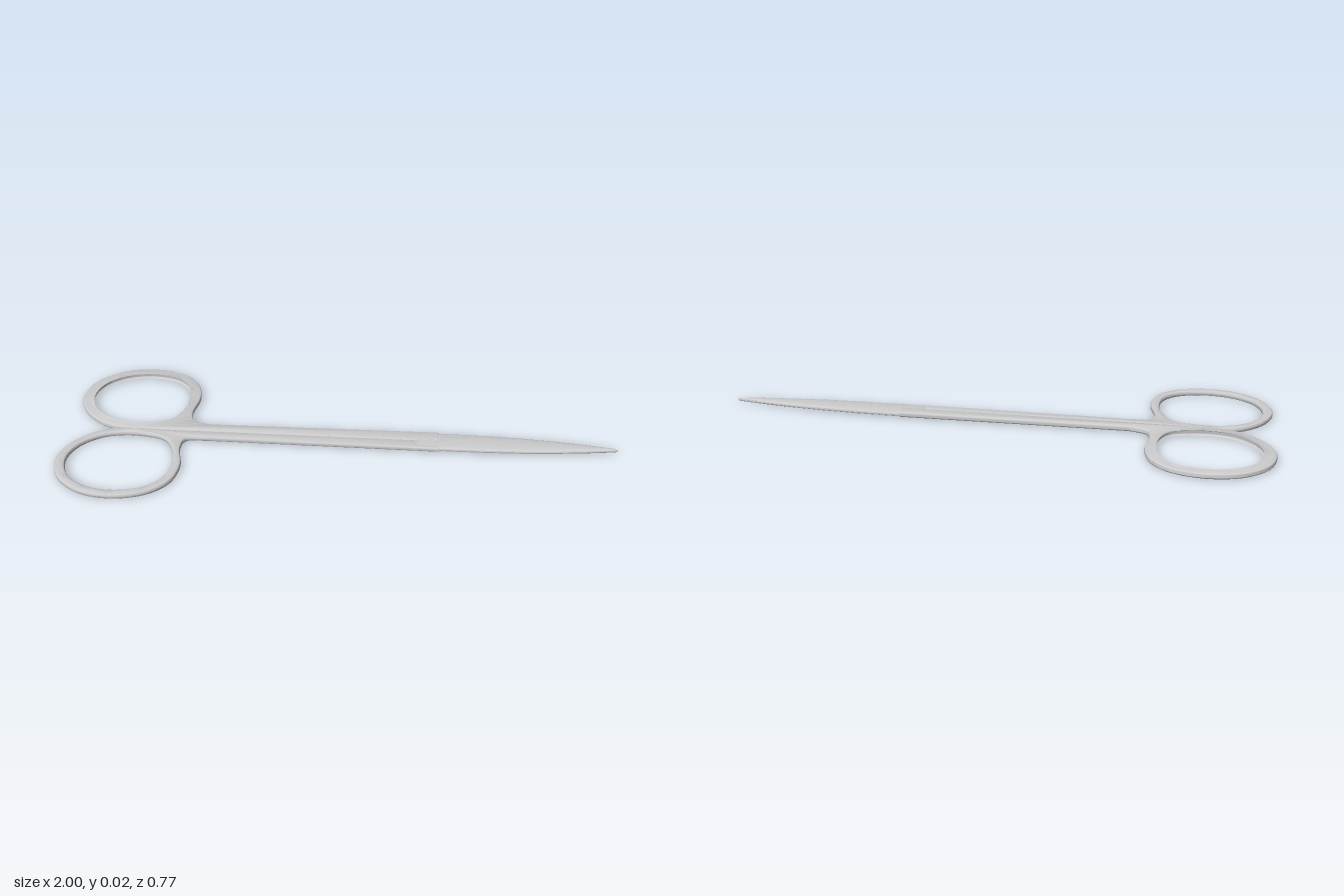
import * as THREE from 'three';
import { toCreasedNormals } from 'three/addons/utils/BufferGeometryUtils.js';

const steel = new THREE.MeshStandardMaterial({ color: 0xcccccc, side: THREE.DoubleSide });

// Finger ring and neck, as (x, z) for the rear half; the front half mirrors it
const RING = [[-0.72, -0.001], [-0.8, -0.005], [-0.88, -0.035], [-0.95, -0.1], [-0.985, -0.19],
  [-0.958, -0.29], [-0.87, -0.365], [-0.75, -0.39], [-0.63, -0.363], [-0.56, -0.3],
  [-0.537, -0.21], [-0.553, -0.11], [-0.54, -0.06]];
const HOLE = [[-0.948, -0.19], [-0.922, -0.28], [-0.85, -0.338], [-0.75, -0.358], [-0.645, -0.335],
  [-0.588, -0.28], [-0.57, -0.2], [-0.582, -0.12], [-0.62, -0.06], [-0.69, -0.037],
  [-0.77, -0.032], [-0.85, -0.052], [-0.92, -0.11]];

function smooth(points, closed, count) {
  const curve = new THREE.CatmullRomCurve3(points.map(([x, z]) => new THREE.Vector3(x, -z, 0)), closed, 'centripetal');
  const list = curve.getPoints(count).map(p => new THREE.Vector2(p.x, p.y));
  if (closed) list.pop();
  return list;
}

// Ring, neck and shank cut as one plate with rounded rims
function handleGeometry(place, shank, seam, y0) {
  const edge = smooth([...RING.map(place), shank[0]], false, 110);
  const corners = [shank[1], seam[0], seam[1]].map(([x, z]) => new THREE.Vector2(x, -z));
  const shape = new THREE.Shape([...edge, ...corners]);
  shape.holes.push(new THREE.Path(smooth(HOLE.map(place), true, 90)));
  const bevel = 0.007;
  const geo = new THREE.ExtrudeGeometry(shape, {
    depth: 0.02 - 2 * bevel, bevelThickness: bevel, bevelSize: bevel, bevelOffset: -bevel, bevelSegments: 4,
  });
  geo.rotateX(-Math.PI / 2).translate(0, y0 + bevel, 0);
  return toCreasedNormals(geo, 0.7);
}

// Blade lofted from D-shaped sections: flat inside, domed outside (side = +1 up, -1 down)
function bladeGeometry(side) {
  // x, rear edge z, front edge z, dome height
  const stations = [[0.28, -0.022, 0.07, 0.0105], [0.4, -0.018, 0.074, 0.0105], [0.53, -0.012, 0.077, 0.0105],
    [0.66, -0.002, 0.077, 0.010], [0.78, 0.011, 0.072, 0.0095], [0.88, 0.026, 0.065, 0.009],
    [0.95, 0.038, 0.058, 0.008], [0.985, 0.045, 0.055, 0.007], [1.0, 0.049, 0.052, 0.005]];
  const N = 14, pos = [], index = [];
  for (const [x, z0, z1, h] of stations) {
    for (let i = 0; i <= N; i++) {
      const a = Math.PI * i / N;
      const z = (z0 + z1) / 2 - Math.cos(a) * (z1 - z0) / 2;
      pos.push(x, 0.0125 + side * h * Math.pow(Math.max(0, Math.sin(a)), 0.5), z);
    }
  }
  const tri = (a, b, c) => (side > 0 ? index.push(a, b, c) : index.push(a, c, b));
  const row = N + 1, last = stations.length - 1;
  for (let s = 0; s < last; s++) {
    for (let i = 0; i <= N; i++) {
      const j = (i + 1) % row, a = s * row + i, b = s * row + j;
      tri(a, b, a + row);
      tri(b, b + row, a + row);
    }
  }
  for (let i = 1; i < N; i++) {
    tri(0, i + 1, i);
    tri(last * row, last * row + i, last * row + i + 1);
  }
  const geo = new THREE.BufferGeometry();
  geo.setAttribute('position', new THREE.Float32BufferAttribute(pos, 3));
  geo.setIndex(index);
  return toCreasedNormals(geo, 0.6);
}

export function createModel() {
  const group = new THREE.Group();
  const add = (name, geo) => {
    const mesh = new THREE.Mesh(geo, steel);
    mesh.name = name;
    group.add(mesh);
  };

  add('rearHandle', handleGeometry(p => p,
    [[-0.48, -0.037], [0.36, -0.021]], [[0.36, 0.03], [-0.6, 0.003]], 0.004));
  add('frontHandle', handleGeometry(([x, z]) => [x - 0.017, -z - 0.01],
    [[-0.48, 0.043], [0.36, 0.073]], [[0.36, 0.028], [-0.6, 0.001]], 0.0015));
  add('upperBlade', bladeGeometry(1));
  add('lowerBlade', bladeGeometry(-1));
  return group;
}
